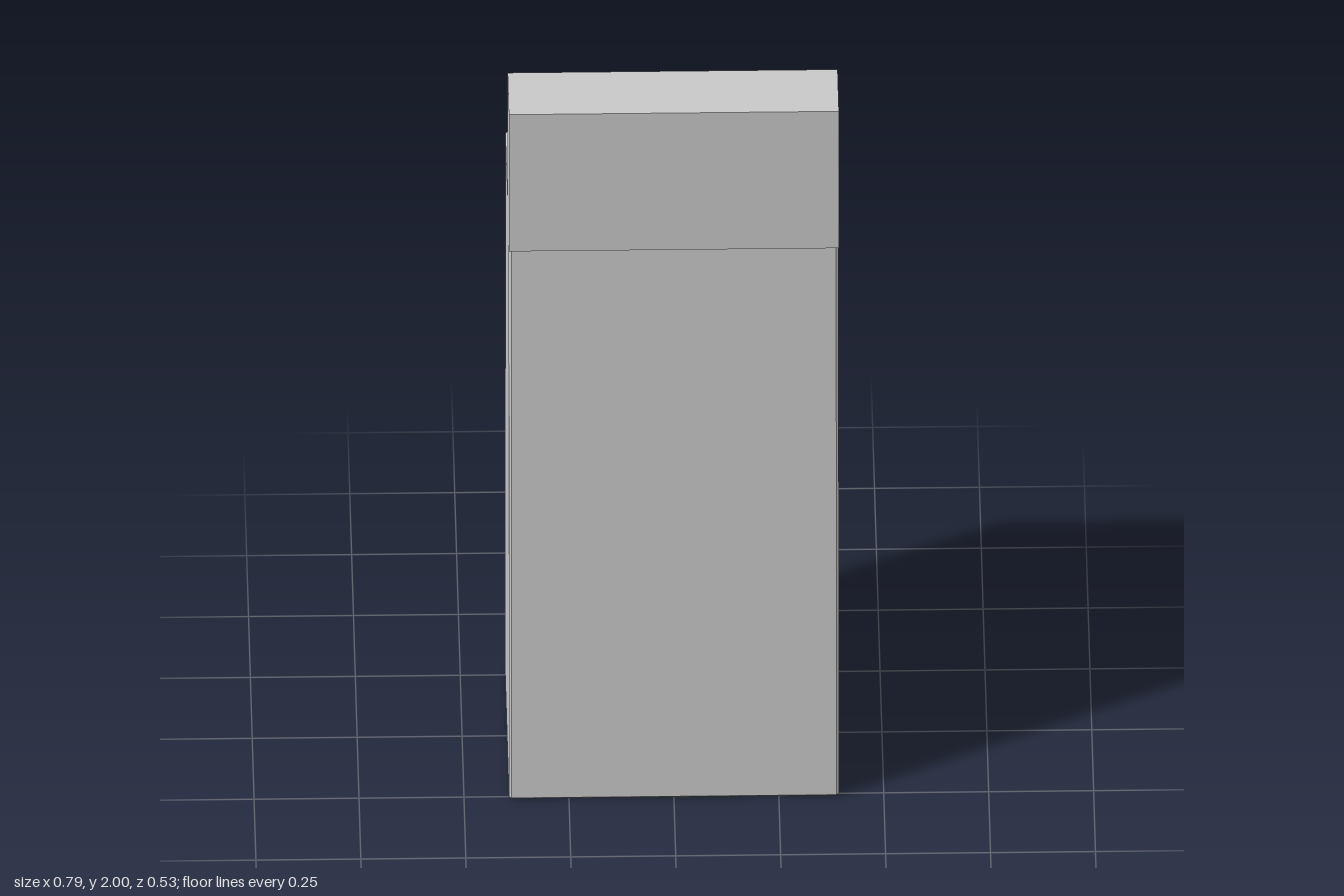
import * as THREE from 'three';

// Chamfered block whose depth tapers from bottom to top, built from octagonal rings
function taperedBlock(halfW, halfBottom, halfTop, height, c) {
  const ring = (y, hx, hz, cut) => [
    [hx - cut, y, hz], [hx, y, hz - cut], [hx, y, -hz + cut], [hx - cut, y, -hz],
    [-hx + cut, y, -hz], [-hx, y, -hz + cut], [-hx, y, hz - cut], [-hx + cut, y, hz],
  ];
  const rings = [
    ring(0, halfW - c, halfBottom - c, 0),
    ring(c, halfW, halfBottom, c),
    ring(height - c, halfW, halfTop, c),
    ring(height, halfW - c, halfTop - c, 0),
  ];
  const n = 8;
  const index = [];
  for (let r = 0; r < rings.length - 1; r++) {
    for (let i = 0; i < n; i++) {
      const j = (i + 1) % n;
      const a = r * n + i, b = r * n + j;
      index.push(a, b, b + n, a, b + n, a + n);
    }
  }
  // Flat caps
  const top = (rings.length - 1) * n;
  for (let i = 1; i < n - 1; i++) {
    index.push(0, i + 1, i);
    index.push(top, top + i, top + i + 1);
  }
  const indexed = new THREE.BufferGeometry();
  indexed.setAttribute('position', new THREE.Float32BufferAttribute(rings.flat(2), 3));
  indexed.setIndex(index);
  const geometry = indexed.toNonIndexed();
  geometry.computeVertexNormals();
  return geometry;
}

export function createModel() {
  const group = new THREE.Group();
  group.name = 'steppedPillar';

  const stone = new THREE.MeshStandardMaterial({ color: 0xc8c8c8 });
  stone.name = 'lightGrey';

  // Tapered lower body
  const body = new THREE.Mesh(taperedBlock(0.393, 0.264, 0.233, 1.607, 0.006), stone);
  body.name = 'body';
  group.add(body);

  // Upright slab along the front of the top
  const slab = new THREE.Mesh(new THREE.BoxGeometry(0.786, 0.4, 0.172), stone);
  slab.name = 'upperSlab';
  slab.position.set(0, 1.8, 0.172);
  group.add(slab);

  return group;
}
